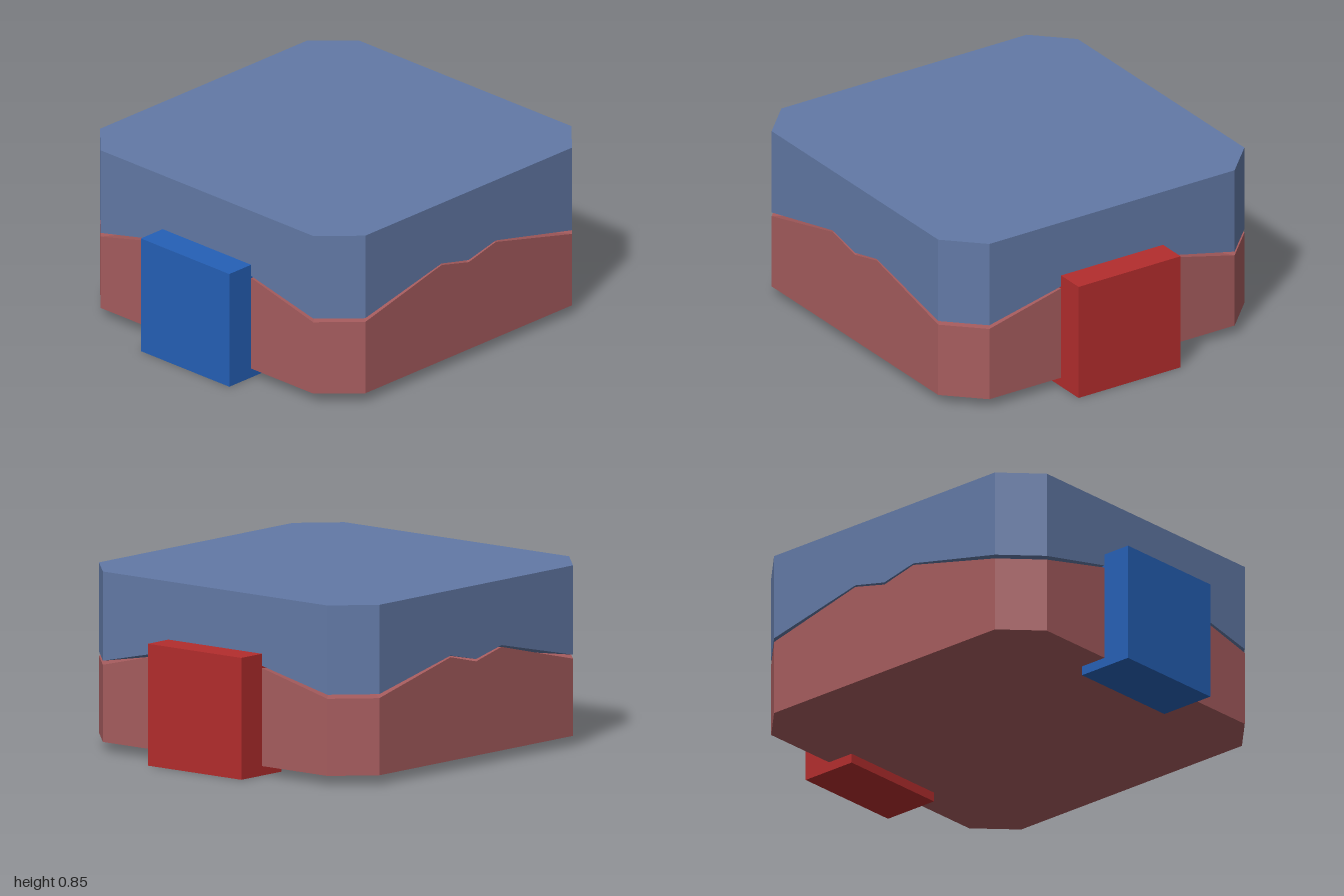
import * as THREE from 'three';

const HALF = 0.855;

// Seam heights along one side: [offset, lower shell, upper shell]
const SEAM = [
  [-0.685, 0.407, 0.426],
  [-0.18, 0.531, 0.539],
  [0, 0.487, 0.498],
  [0.18, 0.531, 0.539],
  [0.685, 0.407, 0.426],
];

// Square outline with cut corners, counter-clockwise from above
function outline(column) {
  const points = [];
  for (let side = 0; side < 4; side++) {
    for (const row of SEAM) {
      let x = row[0], z = HALF;
      for (let i = 0; i < side; i++) [x, z] = [z, -x];
      points.push(new THREE.Vector3(x, row[column], z));
    }
  }
  return points;
}

// Closed solid between two rings, each capped by a fan to its centre
function shell(bottom, top, bottomCentre, topCentre) {
  const positions = [];
  const tri = (...corners) => corners.forEach((p) => positions.push(p.x, p.y, p.z));
  const c0 = new THREE.Vector3(0, bottomCentre, 0);
  const c1 = new THREE.Vector3(0, topCentre, 0);
  bottom.forEach((a, i) => {
    const j = (i + 1) % bottom.length;
    const b = bottom[j], c = top[j], d = top[i];
    tri(a, b, c);
    tri(a, c, d);
    tri(c1, d, c);
    tri(c0, b, a);
  });
  const geometry = new THREE.BufferGeometry();
  geometry.setAttribute('position', new THREE.Float32BufferAttribute(positions, 3));
  geometry.computeVertexNormals();
  return geometry;
}

export function createModel() {
  const group = new THREE.Group();
  const add = (name, geometry, color) => {
    const mesh = new THREE.Mesh(geometry, new THREE.MeshStandardMaterial({ color }));
    mesh.name = name;
    group.add(mesh);
    return mesh;
  };
  const flat = (ring, y) => ring.map((p) => new THREE.Vector3(p.x, y, p.z));

  // Two halves of the body, meeting at a zigzag seam with a thin gap
  const lowerSeam = outline(1);
  const upperSeam = outline(2);
  add('lowerShell', shell(flat(lowerSeam, 0.045), lowerSeam, 0.045, 0.465), 0xa65c5e);
  add('upperShell', shell(upperSeam, flat(upperSeam, 0.845), 0.48, 0.845), 0x6279a6);

  // Blocks set into the front and back
  for (const [name, sign, color] of [['frontBlock', 1, 0x2560b6], ['backBlock', -1, 0xb32d2d]]) {
    add(name, new THREE.BoxGeometry(0.57, 0.572, 0.285), color)
      .position.set(0, 0.286, sign * 0.8575);
  }
  return group;
}
